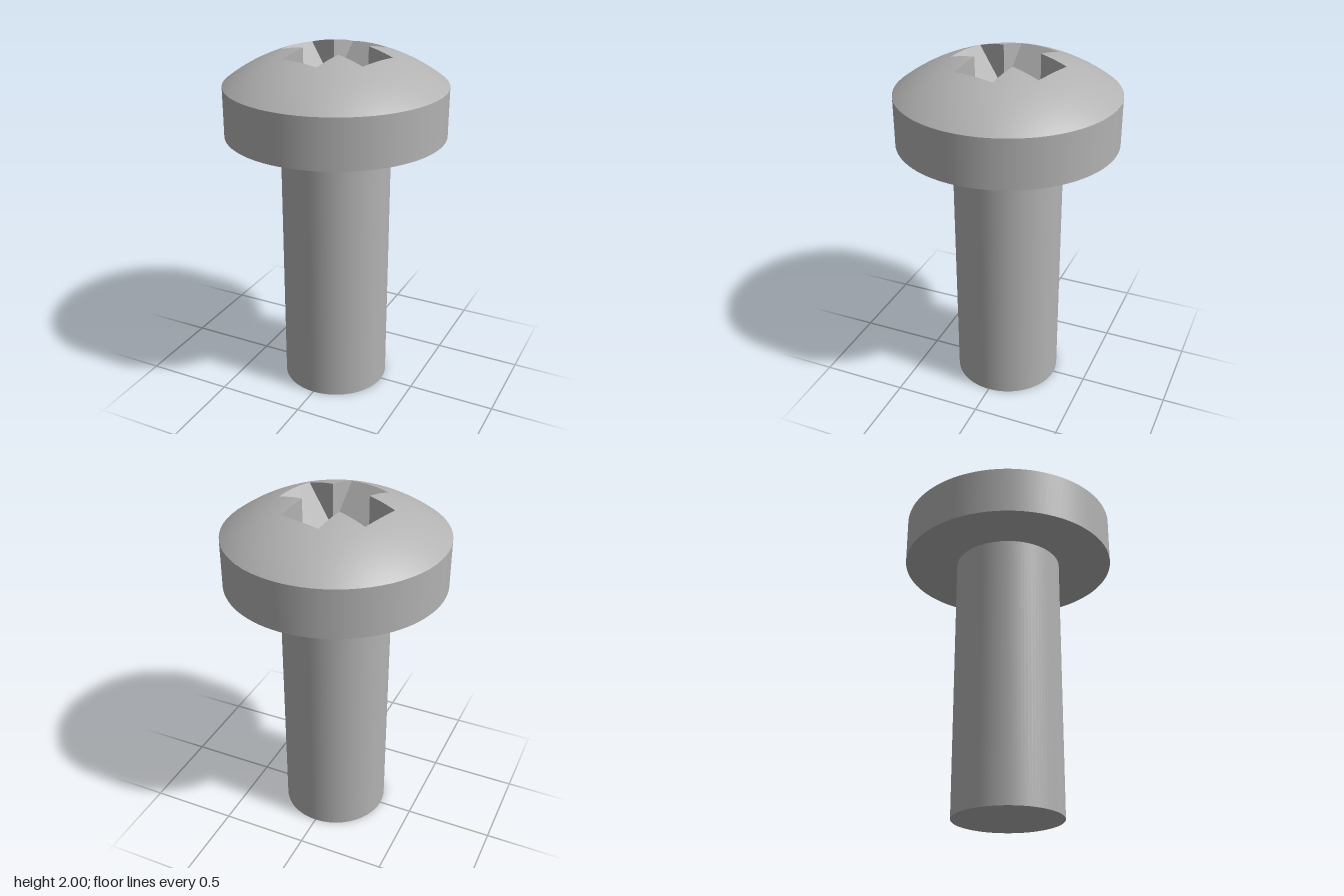
import * as THREE from 'three';

const SEG = 96;
const HEAD_R = 0.61, SHANK_R = 0.305, HEAD_Y = 1.53, RIM_Y = 1.805;
const DOME_R = 0.99, DOME_C = 1.025;             // sphere forming the dome
const W = 0.123, SLOPE = 1.35, TIP = 1.58;       // recess half width, floor slope, lowest point

const domeY = (x, z) => DOME_C + Math.sqrt(DOME_R ** 2 - x * x - z * z);
const floorY = (d) => TIP + SLOPE * d;

// Distance along an arm at which its sloping floor meets the dome
function reach(u) {
  let v = 0.29;
  for (let i = 0; i < 30; i++) v = (domeY(u, v) - TIP) / SLOPE;
  return v;
}

// Mouth of one arm pointing to +z: left side, end arc, right side
function armOutline() {
  const pts = [], end = reach(W), sides = 6, arc = 8;
  for (let i = 0; i < sides; i++) pts.push([-W, W + (end - W) * i / sides]);
  for (let i = 0; i <= arc; i++) {
    const u = W * (2 * i / arc - 1);
    pts.push([u, reach(u)]);
  }
  for (let i = sides - 1; i > 0; i--) pts.push([W, W + (end - W) * i / sides]);
  return pts;
}

// Dome surface lofted from the cross-shaped mouth out to the rim
function domeGeometry() {
  const outline = [];
  for (let k = 0; k < 4; k++) {
    for (let [x, z] of armOutline()) {
      for (let r = 0; r < k; r++) [x, z] = [z, -x];
      outline.push([x, z]);
    }
  }
  const n = outline.length, rings = 14, pos = [], nor = [], idx = [];
  for (let j = 0; j <= rings; j++) {
    for (const [x, z] of outline) {
      const r = Math.hypot(x, z), s = (r + (HEAD_R - r) * j / rings) / r;
      const y = domeY(x * s, z * s);
      pos.push(x * s, y, z * s);
      nor.push(x * s / DOME_R, (y - DOME_C) / DOME_R, z * s / DOME_R);
    }
  }
  for (let j = 0; j < rings; j++) {
    for (let i = 0; i < n; i++) {
      const a = j * n + i, d = j * n + (i + 1) % n;
      idx.push(a, a + n, d + n, a, d + n, d);
    }
  }
  const g = new THREE.BufferGeometry();
  g.setAttribute('position', new THREE.Float32BufferAttribute(pos, 3));
  g.setAttribute('normal', new THREE.Float32BufferAttribute(nor, 3));
  g.setIndex(idx);
  return g;
}

// Inside of one recess arm with its quarter of the centre
function recessArmGeometry() {
  const pos = [], t = floorY(W), end = reach(W);
  const tri = (...p) => p.forEach((v) => pos.push(...v));
  const quad = (a, b, c, d) => { tri(a, b, c); tri(a, c, d); };
  // sloping floor
  for (let i = 0; i < 8; i++) {
    const u0 = W * (i / 4 - 1), u1 = W * ((i + 1) / 4 - 1);
    const v0 = reach(u0), v1 = reach(u1);
    quad([u0, t, W], [u0, floorY(v0), v0], [u1, floorY(v1), v1], [u1, t, W]);
  }
  // upright side walls
  for (let i = 0; i < 6; i++) {
    const z0 = W + (end - W) * i / 6, z1 = W + (end - W) * (i + 1) / 6;
    for (const x of [-W, W]) {
      const f0 = [x, floorY(z0), z0], f1 = [x, floorY(z1), z1];
      const d0 = [x, domeY(x, z0), z0], d1 = [x, domeY(x, z1), z1];
      if (x > 0) quad(f0, f1, d1, d0);
      else quad(f0, d0, d1, f1);
    }
  }
  // small upright step and the V-shaped groove at the centre
  const o = [0, TIP, 0], m = [0, TIP, W], l = [-W, t, W], r = [W, t, W];
  tri(m, l, r);
  tri(o, m, r);
  tri(o, l, m);
  const g = new THREE.BufferGeometry();
  g.setAttribute('position', new THREE.Float32BufferAttribute(pos, 3));
  g.computeVertexNormals();
  return g;
}

export function createModel() {
  const model = new THREE.Group();
  model.name = 'screw';
  const steel = new THREE.MeshStandardMaterial({ color: 0xb2b2b2 });
  steel.name = 'steel grey';
  const add = (parent, name, geometry) => {
    const mesh = new THREE.Mesh(geometry, steel);
    mesh.name = name;
    parent.add(mesh);
    return mesh;
  };

  // Plain shank
  add(model, 'shank', new THREE.CylinderGeometry(SHANK_R, SHANK_R, HEAD_Y, SEG))
    .position.y = HEAD_Y / 2;

  // Head: side wall, underside and dome
  add(model, 'headSide', new THREE.CylinderGeometry(HEAD_R, HEAD_R, RIM_Y - HEAD_Y, SEG, 1, true))
    .position.y = (RIM_Y + HEAD_Y) / 2;
  const under = add(model, 'headUnderside', new THREE.RingGeometry(SHANK_R, HEAD_R, SEG));
  under.rotation.x = Math.PI / 2;
  under.position.y = HEAD_Y;

  // Dome and cross recess share one turn about the axis
  const top = new THREE.Group();
  top.name = 'headTop';
  top.rotation.y = -Math.PI / 12;
  model.add(top);
  add(top, 'dome', domeGeometry());
  const arm = recessArmGeometry();
  for (let k = 0; k < 4; k++) add(top, 'recessArm', arm).rotation.y = k * Math.PI / 2;

  return model;
}
